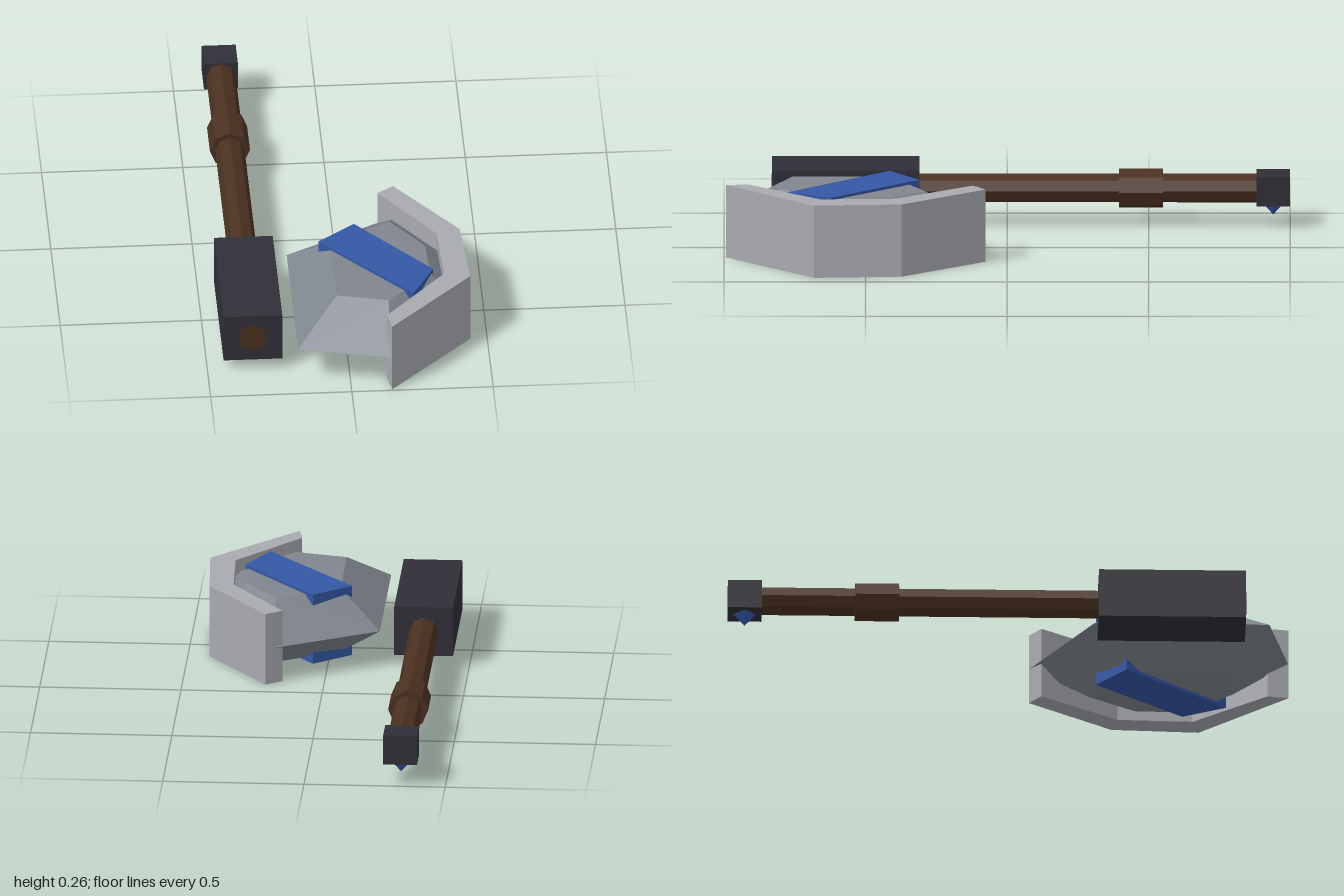
import * as THREE from 'three';
import { ConvexGeometry } from 'three/addons/geometries/ConvexGeometry.js';

const material = (name, color) => {
  const m = new THREE.MeshStandardMaterial({ color });
  m.name = name;
  return m;
};

export function createModel() {
  const group = new THREE.Group();
  const iron = material('darkIron', 0x302f38);
  const wood = material('brownWood', 0x4a3020);
  const blue = material('blueInlay', 0x3458a6);
  const steel = material('bladeSteel', 0x7f858e);
  const edge = material('paleEdge', 0xa8aab0);
  const axisX = -0.34, axisY = 0.132;

  const add = (name, geometry, mat) => {
    const faceted = geometry.index ? geometry.toNonIndexed() : geometry;
    faceted.computeVertexNormals(); // crisp facets
    const mesh = new THREE.Mesh(faceted, mat);
    mesh.name = name;
    group.add(mesh);
    return mesh;
  };

  // Block from min/max limits
  const block = (name, x0, x1, y0, y1, z0, z1, mat) =>
    add(name, new THREE.BoxGeometry(x1 - x0, y1 - y0, z1 - z0), mat)
      .position.set((x0 + x1) / 2, (y0 + y1) / 2, (z0 + z1) / 2);

  // Octagonal rod along z
  const rod = (name, radius, z0, z1, mat) =>
    add(name, new THREE.CylinderGeometry(radius, radius, z1 - z0, 8).rotateX(Math.PI / 2), mat)
      .position.set(axisX, axisY, (z0 + z1) / 2);

  // Upright prism from a plan outline of [x, z] points
  const prism = (name, plan, y0, y1, mat) => {
    const shape = new THREE.Shape(plan.map(([x, z]) => new THREE.Vector2(x, z)));
    const geometry = new THREE.ExtrudeGeometry(shape, { depth: y1 - y0, bevelEnabled: false });
    add(name, geometry.rotateX(Math.PI / 2).translate(0, y1, 0), mat);
  };

  // Shaft, grip collar and end blocks
  rod('shaft', 0.052, -0.9, 0.832, wood);
  rod('gripCollar', 0.071, -0.55, -0.395, wood);
  block('headBlock', -0.443, -0.235, 0.041, 0.222, 0.31, 0.83, iron);
  block('pommel', -0.4, -0.28, 0.08, 0.186, -1, -0.88, iron);

  // Pointed gem under the pommel
  add('pommelGem', new THREE.ConeGeometry(0.042, 0.045, 4).rotateX(Math.PI), blue)
    .position.set(axisX, 0.0585, -0.94);

  // Blade core: wide at mid height, bevelled to flat faces above and below
  const rim = [[-0.185, 0.3], [0.206, 0.078], [0.415, 0.375], [0.432, 0.678], [0.143, 0.992], [-0.185, 0.918]];
  const flat = [[-0.038, 0.415], [0.18, 0.289], [0.295, 0.453], [0.302, 0.64], [0.143, 0.8], [-0.038, 0.757]];
  const ring = (plan, y) => plan.map(([x, z]) => new THREE.Vector3(x, y, z));
  add('bladeCore', new ConvexGeometry([...ring(rim, 0.132), ...ring(flat, 0.25), ...ring(flat, 0.014)]), steel);

  // Raised cutting band around the outer side
  prism('cuttingBand', [
    [0.206, 0.077], [0.423, 0.373], [0.44, 0.682], [0.143, 0.994],
    [0.13, 0.918], [0.349, 0.659], [0.339, 0.394], [0.148, 0.12],
  ], 0, 0.263, edge);

  // Blue inlay passing through the blade
  prism('bladeInlay', [[-0.079, 0.415], [0.053, 0.31], [0.312, 0.622], [0.233, 0.775]], 0.002, 0.26, blue);

  return group;
}
